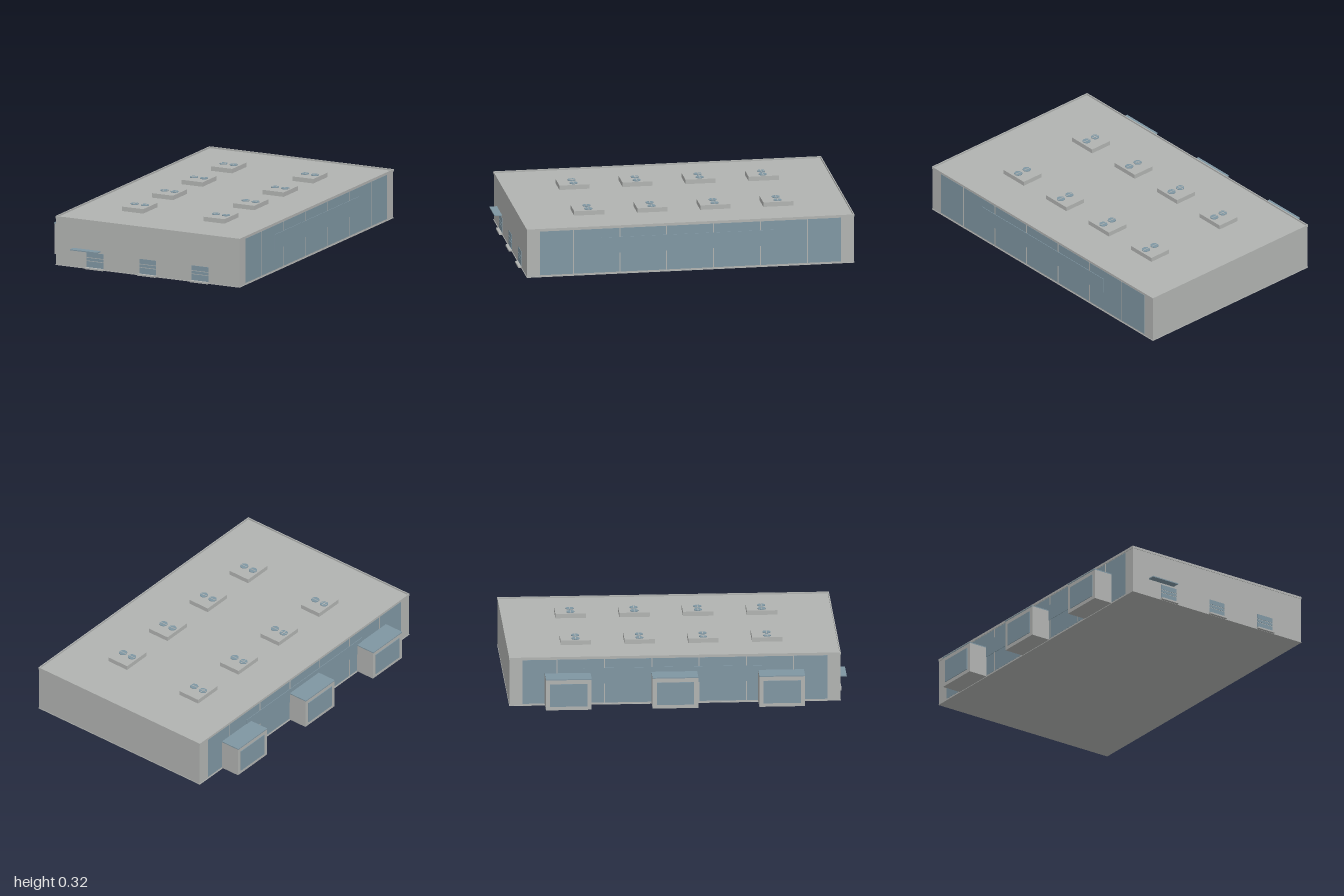
import * as THREE from 'three';

const wall = new THREE.MeshStandardMaterial({ color: 0xb1b3b1 });
wall.name = 'concrete grey';
const glass = new THREE.MeshStandardMaterial({ color: 0x7f96a2 });
glass.name = 'slate blue';

// Box given by its min and max corners
function box(parent, name, mat, x0, x1, y0, y1, z0, z1) {
  const m = new THREE.Mesh(new THREE.BoxGeometry(x1 - x0, y1 - y0, z1 - z0), mat);
  m.position.set((x0 + x1) / 2, (y0 + y1) / 2, (z0 + z1) / 2);
  m.name = name;
  parent.add(m);
  return m;
}

const X0 = -0.55, X1 = 0.67, Z0 = -1, Z1 = 0.955, ROOF = 0.287, TOP = 0.297;

// Glazed long wall; side is +1 or -1, x is the wall plane
function glazedWall(side, x) {
  const g = new THREE.Group();
  g.name = side > 0 ? 'leftGlazing' : 'rightGlazing';
  const plate = (name, mat, depth, y0, y1, z0, z1) =>
    box(g, name, mat, Math.min(x, x + side * depth), Math.max(x, x + side * depth), y0, y1, z0, z1);
  plate('windowBand', glass, 0.001, 0.012, 0.28, -0.92, 0.88);
  for (const z of [0.68, 0.4, 0.122, -0.157, -0.437, -0.718])
    plate('mullion', wall, 0.002, 0.012, 0.28, z - 0.003, z + 0.003);
  plate('fasciaPanel', glass, 0.004, 0.13, 0.226, -0.56, 0.515);
  return g;
}

// Entrance box projecting from the -x wall
function porch(z) {
  const g = new THREE.Group();
  g.name = 'porch';
  const a = z - 0.135, b = z + 0.135;
  box(g, 'porchBody', wall, -0.672, X0, 0.006, 0.191, a, b);
  box(g, 'porchRoof', glass, -0.675, X0, 0.191, 0.197, a, b);
  box(g, 'porchDoor', glass, -0.676, -0.672, 0.028, 0.166, a + 0.025, b - 0.025);
  return g;
}

// Rooftop cooling unit with two fans
function coolingUnit(x, z) {
  const g = new THREE.Group();
  g.name = 'coolingUnit';
  g.position.set(x, ROOF, z);
  box(g, 'unitCasing', wall, -0.07, 0.07, 0, 0.027, -0.09, 0.09);
  for (const fx of [-0.034, 0.033]) {
    const fan = new THREE.Mesh(new THREE.CylinderGeometry(0.024, 0.024, 0.004, 20), glass);
    fan.name = 'fan';
    fan.position.set(fx, 0.029, 0);
    g.add(fan);
    box(g, 'fanBar', wall, fx - 0.024, fx + 0.024, 0.03, 0.0315, -0.002, 0.002);
    if (x < 0 && fx < 0)
      box(g, 'fanCrossBar', wall, fx - 0.002, fx + 0.002, 0.03, 0.0315, -0.024, 0.024);
  }
  return g;
}

// Shutter door with its loading sill on the front wall
function loadingDoor(x) {
  const g = new THREE.Group();
  g.name = 'loadingDoor';
  for (const [y0, y1] of [[0.01, 0.047], [0.051, 0.067], [0.071, 0.1]])
    box(g, 'shutterPanel', glass, x - 0.055, x + 0.055, y0, y1, Z1, Z1 + 0.002);
  box(g, 'loadingSill', wall, x - 0.06, x + 0.06, 0.001, 0.011, Z1, Z1 + 0.02);
  return g;
}

export function createModel() {
  const model = new THREE.Group();
  model.name = 'warehouse';

  // Main hall, base slab and parapet
  box(model, 'hall', wall, X0, X1, 0.004, ROOF, Z0 + 0.002, Z1);
  box(model, 'baseSlab', wall, X0 - 0.003, X1 + 0.003, 0, 0.004, Z0, Z1 + 0.003);
  const t = 0.006, e = 0.003;
  box(model, 'parapetFront', wall, X0 - e, X1 + e, ROOF - 0.004, TOP, Z1 + e - t, Z1 + e);
  box(model, 'parapetBack', wall, X0 - e, X1 + e, ROOF - 0.004, TOP, Z0, Z0 + t);
  box(model, 'parapetRight', wall, X0 - e, X0 - e + t, ROOF - 0.004, TOP, Z0 + t, Z1 + e - t);
  box(model, 'parapetLeft', wall, X1 + e - t, X1 + e, ROOF - 0.004, TOP, Z0 + t, Z1 + e - t);

  model.add(glazedWall(1, X1), glazedWall(-1, X0));

  for (const z of [-0.655, -0.025, 0.605]) model.add(porch(z));
  for (const x of [-0.21, 0.33])
    for (const z of [-0.59, -0.213, 0.163, 0.54]) model.add(coolingUnit(x, z));
  for (const x of [-0.29, 0.06, 0.408]) model.add(loadingDoor(x));

  // Canopy over the first door
  box(model, 'canopy', glass, -0.435, -0.253, 0.111, 0.117, Z1, 1);
  return model;
}
